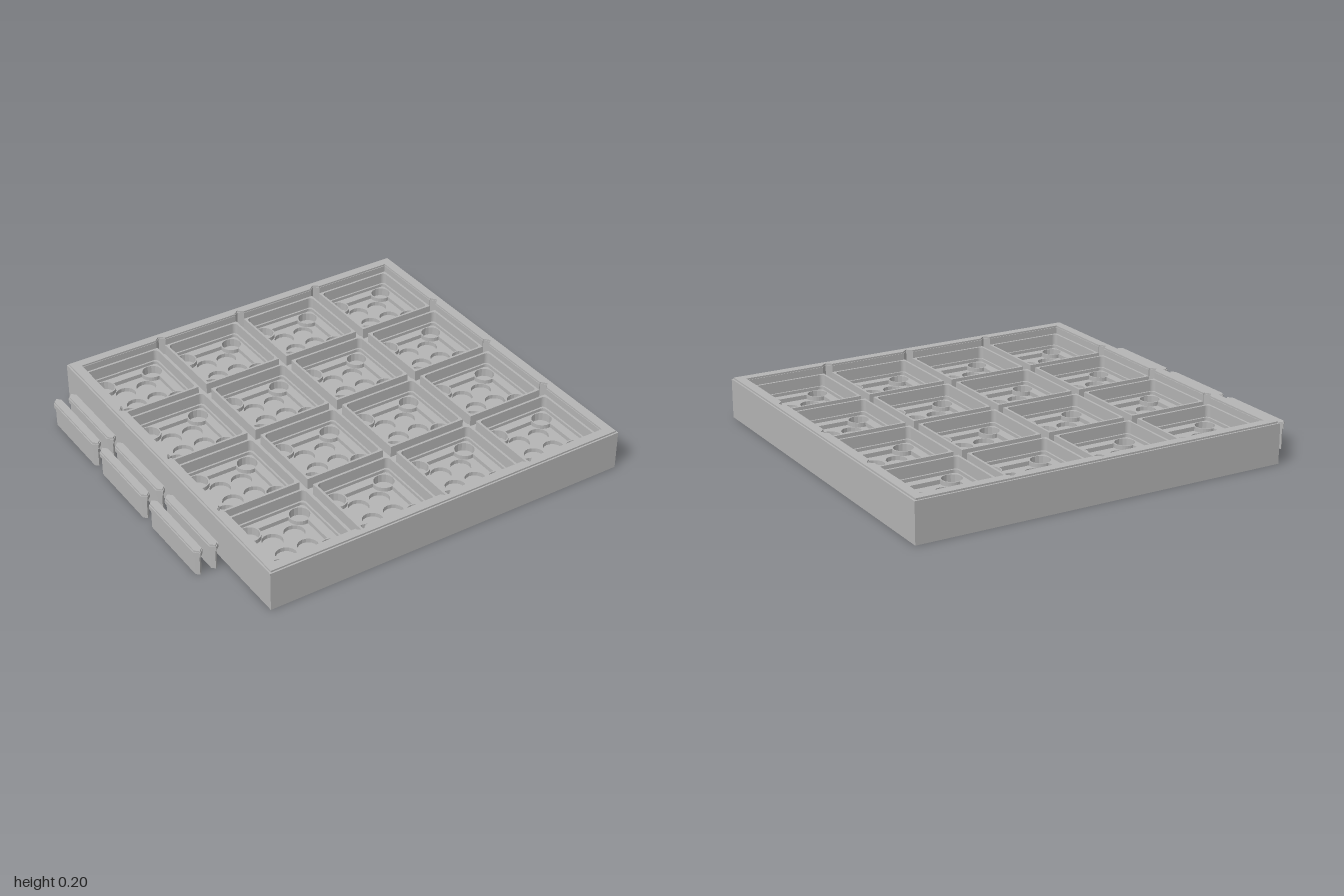
import * as THREE from 'three';

const CX = 0.076, HALF = 0.921, PITCH = 0.443;
const STEPS = [-1.5, -0.5, 0.5, 1.5].map((k) => k * PITCH);
const CELLS = STEPS.flatMap((x) => STEPS.map((y) => [x, y]));

// Rounded square outline
function square(target, cx, cy, h, r) {
  target.moveTo(cx - h + r, cy - h);
  target.lineTo(cx + h - r, cy - h);
  target.absarc(cx + h - r, cy - h + r, r, -Math.PI / 2, 0);
  target.absarc(cx + h - r, cy + h - r, r, 0, Math.PI / 2);
  target.absarc(cx - h + r, cy + h - r, r, Math.PI / 2, Math.PI);
  target.absarc(cx - h + r, cy - h + r, r, Math.PI, Math.PI * 1.5);
  return target;
}

function plainSquare(h) {
  return new THREE.Shape([[-h, -h], [h, -h], [h, h], [-h, h]].map((p) => new THREE.Vector2(...p)));
}

function circle(cx, cy, r) {
  return new THREE.Path().absarc(cx, cy, r, 0, Math.PI * 2);
}

// Recess whose corners curve in around the corner sockets
function pocket(cx, cy) {
  const h = 0.138, o = 0.128, r = 0.053;
  const pts = [];
  for (let q = 0; q < 4; q++) {
    const a = q * Math.PI / 2, c = Math.cos(a), s = Math.sin(a);
    const from = Math.PI + Math.acos((h - o) / r) - Math.PI, start = -from, end = from - Math.PI * 1.5;
    for (let i = 0; i <= 8; i++) {
      const t = start + (end - start) * i / 8;
      const x = o + r * Math.cos(t), y = o + r * Math.sin(t);
      pts.push(new THREE.Vector2(cx + x * c - y * s, cy + x * s + y * c));
    }
  }
  return new THREE.Path(pts);
}

// Square opening with pointed notches facing every channel
function notchedOpening(h) {
  const pts = [];
  for (let q = 0; q < 4; q++) {
    const a = q * Math.PI / 2, c = Math.cos(a), s = Math.sin(a);
    const side = [[-h, -h]];
    for (const k of [-PITCH, 0, PITCH]) {
      side.push([k - 0.025, -h], [k - 0.025, -h - 0.004], [k, -h - 0.024], [k + 0.025, -h - 0.004], [k + 0.025, -h]);
    }
    for (const [x, y] of side) pts.push(new THREE.Vector2(x * c - y * s, x * s + y * c));
  }
  return new THREE.Path(pts);
}

export function createModel() {
  const model = new THREE.Group();
  const grey = new THREE.MeshStandardMaterial({ color: 0xb4b4b4 });
  grey.name = 'plain grey';

  // Horizontal slab between two heights
  function slab(parent, name, shape, y0, y1) {
    const geo = new THREE.ExtrudeGeometry(shape, { depth: y1 - y0, bevelEnabled: false, curveSegments: 8 });
    geo.rotateX(-Math.PI / 2);
    const mesh = new THREE.Mesh(geo, grey);
    mesh.name = name;
    mesh.position.y = y0;
    parent.add(mesh);
    return mesh;
  }

  const tray = new THREE.Group();
  tray.name = 'tray';
  tray.position.x = CX;
  model.add(tray);

  slab(tray, 'trayBase', plainSquare(HALF), 0, 0.05);

  // Round sockets: four at the middle and four at the corners of each cell
  const sockets = plainSquare(HALF);
  const floor = plainSquare(HALF);
  const ledge = plainSquare(HALF);
  for (const [x, y] of CELLS) {
    for (const sx of [-1, 1]) for (const sy of [-1, 1]) {
      sockets.holes.push(circle(x + sx * 0.055, y + sy * 0.055, 0.048));
      sockets.holes.push(circle(x + sx * 0.128, y + sy * 0.128, 0.047));
      floor.holes.push(circle(x + sx * 0.128, y + sy * 0.128, 0.047));
    }
    floor.holes.push(pocket(x, y));
    ledge.holes.push(square(new THREE.Path(), x, y, 0.18, 0.02));
  }
  slab(tray, 'socketLayer', sockets, 0.05, 0.07);
  slab(tray, 'cellFloor', floor, 0.07, 0.09);
  slab(tray, 'cellLedge', ledge, 0.09, 0.105);

  // Thin walls around each cell, leaving channels between them
  for (const [x, y] of CELLS) {
    const wall = plainSquare(0.2);
    wall.holes.push(square(new THREE.Path(), 0, 0, 0.189, 0.02));
    slab(tray, 'cellWall', wall, 0.105, 0.16).position.set(x, 0.105, -y);
  }

  // Outer rim with a small step at its top edge
  const rim = plainSquare(HALF);
  rim.holes.push(notchedOpening(0.865));
  slab(tray, 'rim', rim, 0.105, 0.192);
  const rimTop = plainSquare(HALF - 0.008);
  rimTop.holes.push(notchedOpening(0.868));
  slab(tray, 'rimTop', rimTop, 0.192, 0.2);

  // Loose dividers with pointed ends: a slim stem under a wider chamfered head
  function hexagon(w, l) {
    return new THREE.Shape([[0, -l], [w, -l + w], [w, l - w], [0, l], [-w, l - w], [-w, -l + w]]
      .map((p) => new THREE.Vector2(...p)));
  }
  for (const x of [-0.977, -0.9]) for (const z of [-0.567, -0.105, 0.358]) {
    const divider = new THREE.Group();
    divider.name = 'divider';
    divider.position.set(x, 0, z);
    slab(divider, 'dividerStem', hexagon(0.015, 0.206), 0, 0.1);
    slab(divider, 'dividerHead', hexagon(0.023, 0.215), 0.1, 0.122);
    slab(divider, 'dividerTop', hexagon(0.018, 0.21), 0.122, 0.13);
    model.add(divider);
  }
  return model;
}
